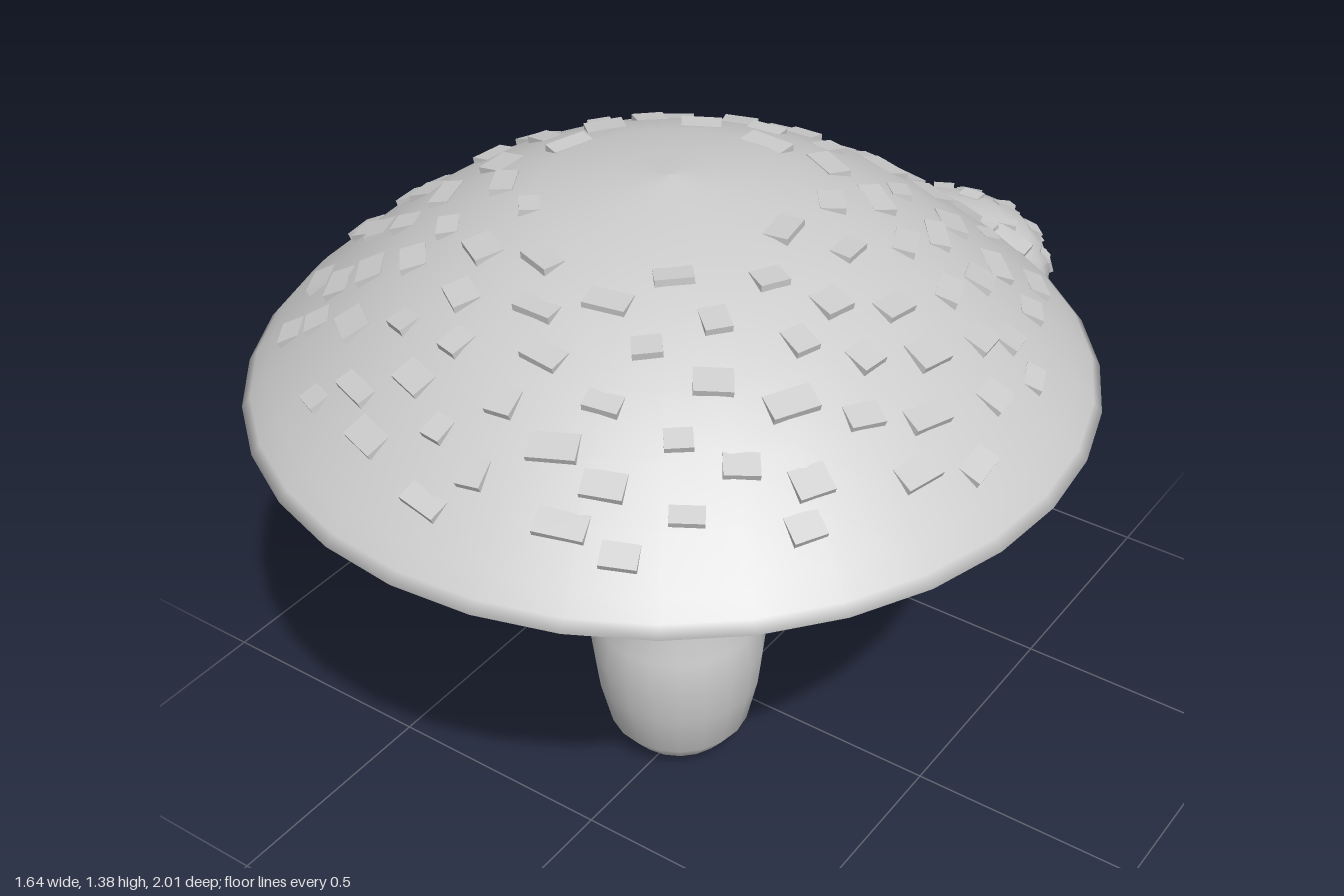
import * as THREE from 'three';
import { mergeGeometries } from 'three/addons/utils/BufferGeometryUtils.js';

const material = new THREE.MeshStandardMaterial({ color: 0xcccccc, side: THREE.DoubleSide });

// Small seeded generator, so the warts always land in the same places
function seeded(seed) {
  return () => {
    seed = (seed * 16807) % 2147483647;
    return seed / 2147483647;
  };
}

const points = (list) => list.map(([r, y]) => new THREE.Vector2(r, y));

function lathe(name, list, sides) {
  const mesh = new THREE.Mesh(new THREE.LatheGeometry(points(list), sides), material);
  mesh.name = name;
  return mesh;
}

// Low wedges scattered in a spiral: flush uphill, slightly lifted downhill
function makeWarts({ dome, count, from, to, width, length, lift, seed }) {
  const random = seeded(seed);
  const curve = new THREE.SplineCurve(points([...dome].reverse()));
  const parts = [];
  for (let i = 0; i < count; i++) {
    const u = Math.sqrt(from * from + (to * to - from * from) * ((i + random()) / count));
    const angle = i * 2.39996 + (random() - 0.5) * 0.12;
    const p = curve.getPointAt(u);
    const t = curve.getTangentAt(u);
    const c = Math.cos(angle);
    const s = Math.sin(angle);
    const downhill = new THREE.Vector3(t.x * c, t.y, t.x * s);
    const normal = new THREE.Vector3(-t.y * c, t.x, -t.y * s);
    const across = new THREE.Vector3().crossVectors(normal, downhill);
    const w = width * (0.6 + 0.7 * random());
    const l = length * (0.8 + 0.5 * random());
    const wart = new THREE.BoxGeometry(w, lift * 2, l);
    wart.translate(0, -lift, 0);
    wart.rotateX(-Math.atan2(lift, l));
    wart.translate(0, lift * 0.35, 0);
    wart.rotateY((random() - 0.5) * 0.4);
    wart.applyMatrix4(new THREE.Matrix4().makeBasis(across, normal, downhill)
      .setPosition(p.x * c, p.y, p.x * s));
    parts.push(wart);
  }
  const mesh = new THREE.Mesh(mergeGeometries(parts), material);
  mesh.name = 'capWarts';
  return mesh;
}

function makeMushroom(name, { stem, underside, dome, sides, warts }) {
  const group = new THREE.Group();
  group.name = name;
  group.add(
    lathe('stem', stem, 20),
    lathe('cap', [...underside, ...dome], sides),
    makeWarts({ dome, ...warts }),
  );
  return group;
}

export function createModel() {
  const model = new THREE.Group();
  model.name = 'mushrooms';

  // Each stem flares out at the top, where it runs into the underside of its cap
  const large = makeMushroom('largeMushroom', {
    stem: [[0, 0], [0.06, 0.012], [0.11, 0.035], [0.15, 0.085], [0.174, 0.19], [0.184, 0.28],
      [0.177, 0.35], [0.147, 0.48], [0.145, 0.75], [0.144, 0.99], [0.155, 1.015], [0.22, 1.024]],
    underside: [[0.2, 1.025], [0.4, 1.008], [0.775, 0.982], [0.8, 0.971]],
    dome: [[0.82, 0.97], [0.803, 0.99], [0.77, 1.025], [0.69, 1.096], [0.6, 1.168], [0.5, 1.238],
      [0.37, 1.303], [0.25, 1.343], [0.12, 1.366], [0, 1.38]],
    sides: 32,
    warts: { count: 115, from: 0.26, to: 0.86, width: 0.072, length: 0.045, lift: 0.012, seed: 71 },
  });
  large.position.set(0, 0, 0.18);

  const small = makeMushroom('smallMushroom', {
    stem: [[0, 0.015], [0.04, 0.02], [0.07, 0.033], [0.097, 0.06], [0.111, 0.13], [0.116, 0.19],
      [0.113, 0.24], [0.097, 0.32], [0.101, 0.5], [0.103, 0.65], [0.11, 0.668], [0.135, 0.674]],
    underside: [[0.12, 0.675], [0.19, 0.667], [0.222, 0.645], [0.232, 0.634]],
    dome: [[0.247, 0.633], [0.243, 0.68], [0.252, 0.75], [0.237, 0.8], [0.2, 0.843],
      [0.14, 0.872], [0.07, 0.887], [0, 0.892]],
    sides: 24,
    warts: { count: 60, from: 0.25, to: 0.86, width: 0.045, length: 0.034, lift: 0.009, seed: 913 },
  });
  small.position.set(0.065, 0, -0.745);

  model.add(large, small);
  return model;
}
